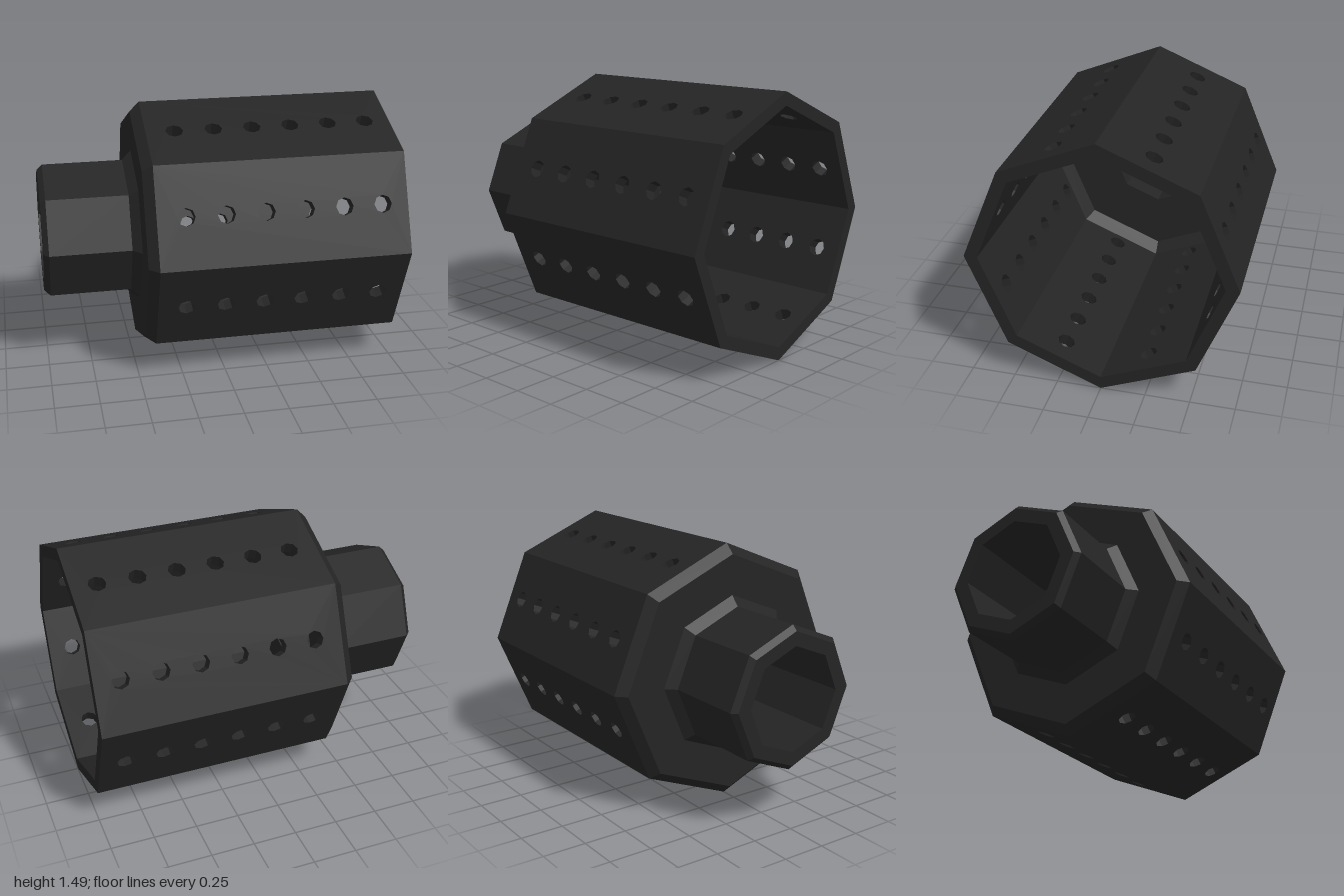
import * as THREE from 'three';

const SIDES = 8;
const OUTER = 0.745, INNER = 0.67;        // corner radii of the sleeve
const END = 1, OUT_START = -0.405, IN_START = -0.325;
const HOLE_R = 0.05;
const HOLES = Array.from({ length: 6 }, (_, i) => -0.245 + i * 0.22);

const flat = (geometry) => {
  const g = geometry.toNonIndexed();
  g.computeVertexNormals();
  return g;
};

// Octagonal ring from [position along axis, corner radius] pairs
const ring = (profile) =>
  flat(new THREE.LatheGeometry(profile.map(([y, r]) => new THREE.Vector2(r, y)), SIDES));

// Flat wall panel with a row of round holes
function panel(radius, start) {
  const w = radius * Math.sin(Math.PI / SIDES);
  const shape = new THREE.Shape([
    new THREE.Vector2(-w, start), new THREE.Vector2(w, start),
    new THREE.Vector2(w, END), new THREE.Vector2(-w, END),
  ]);
  for (const y of HOLES) {
    const pts = Array.from({ length: 8 }, (_, i) => {
      const a = -i * Math.PI / 4;
      return new THREE.Vector2(HOLE_R * Math.cos(a), y + HOLE_R * Math.sin(a));
    });
    shape.holes.push(new THREE.Path([...pts, pts[0].clone()]));
  }
  return new THREE.ShapeGeometry(shape);
}

export function createModel() {
  const blackMetal = new THREE.MeshStandardMaterial({ color: 0x242424 });
  blackMetal.name = 'blackMetal';
  const add = (parent, geometry, name) => {
    const mesh = new THREE.Mesh(geometry, blackMetal);
    mesh.name = name;
    parent.add(mesh);
    return mesh;
  };

  const model = new THREE.Group();
  model.name = 'perforatedSleeve';
  const body = new THREE.Group();
  body.name = 'body';
  body.rotation.z = -Math.PI / 2;         // local y runs along world x
  body.position.y = OUTER;
  model.add(body);

  // Cavity floor, bore, neck and shoulder in one continuous profile
  add(body, ring([
    [IN_START, INNER], [-0.385, 0.61], [-0.385, 0.295], [-1, 0.295],
    [-1, 0.375], [-0.97, 0.405], [-0.51, 0.405], [-0.46, 0.46],
    [-0.46, 0.69], [OUT_START, OUTER],
  ]), 'neckAndShoulder');

  // Open end rim
  add(body, ring([[END, OUTER], [END, INNER]]), 'rim');

  // Eight perforated walls
  const apothem = Math.cos(Math.PI / SIDES);
  const zOut = OUTER * apothem, zIn = INNER * apothem;
  const outerFace = panel(OUTER, OUT_START).translate(0, 0, zOut);
  const innerFace = panel(INNER, IN_START).rotateY(Math.PI).translate(0, 0, zIn);
  // Inward-facing hole lining
  const lining = flat(new THREE.LatheGeometry(
    [new THREE.Vector2(HOLE_R, zOut), new THREE.Vector2(HOLE_R, zIn)], 8)).rotateX(Math.PI / 2);

  for (let i = 0; i < SIDES; i++) {
    const wall = new THREE.Group();
    wall.name = 'wall' + (i + 1);
    wall.rotation.y = (i + 0.5) * 2 * Math.PI / SIDES;
    add(wall, outerFace, 'outerFace');
    add(wall, innerFace, 'innerFace');
    for (const y of HOLES) add(wall, lining, 'holeLining').position.y = y;
    body.add(wall);
  }
  return model;
}
